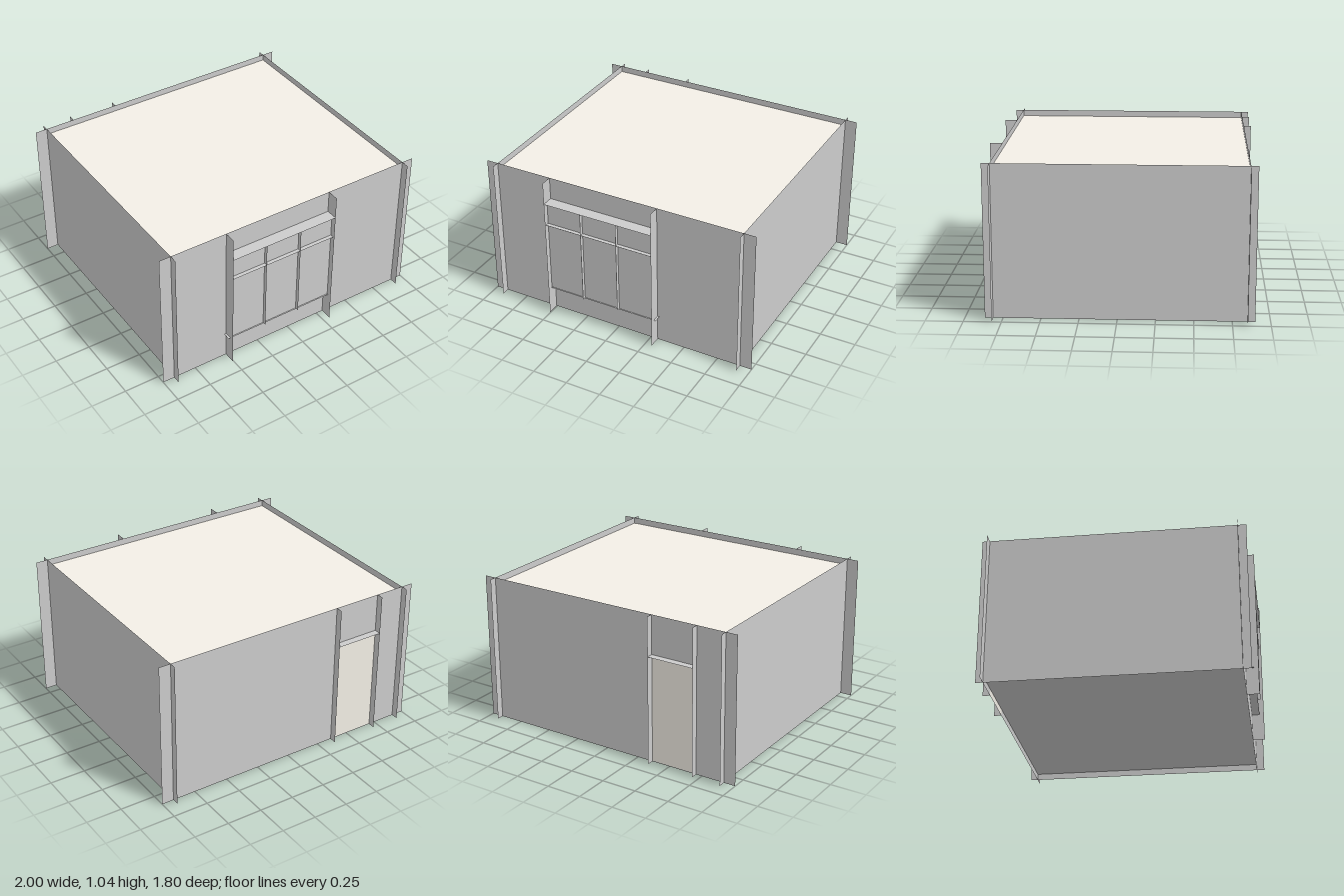
import * as THREE from 'three';

const grey = new THREE.MeshStandardMaterial({ color: 0xcccccc, side: THREE.DoubleSide });
const cream = new THREE.MeshStandardMaterial({ color: 0xf3efe6, side: THREE.DoubleSide });

const H = 1.04;                                   // wall height
const FRONT = 0.815, BACK = -0.85, SIDE = 0.915;  // wall planes
const FLOOR = 0.045, ROOF = 0.995;
const WIN = { x0: -0.505, x1: 0.3, y0: 0.19, y1: 0.88 };
const DOOR = { x0: -0.705, x1: -0.365, y0: 0.005, y1: 0.765 };

// Flat sheet facing z, with optional rectangular opening
function facade(x0, x1, y0, y1, z, hole) {
  const rect = (C, a, b, c, d) => new C([[a, c], [b, c], [b, d], [a, d]].map(p => new THREE.Vector2(...p)));
  const shape = rect(THREE.Shape, x0, x1, y0, y1);
  if (hole) shape.holes.push(rect(THREE.Path, hole.x0, hole.x1, hole.y0, hole.y1));
  return new THREE.ShapeGeometry(shape).translate(0, 0, z);
}

// Thin sheet standing across x (upright, running along z)
function upright(x, y0, y1, z0, z1) {
  return new THREE.PlaneGeometry(z1 - z0, y1 - y0).rotateY(Math.PI / 2)
    .translate(x, (y0 + y1) / 2, (z0 + z1) / 2);
}

// Thin level sheet
function level(x0, x1, y, z0, z1) {
  return new THREE.PlaneGeometry(x1 - x0, z1 - z0).rotateX(-Math.PI / 2)
    .translate((x0 + x1) / 2, y, (z0 + z1) / 2);
}

export function createModel() {
  const model = new THREE.Group();
  model.name = 'room';
  const add = (name, geometry, material = grey, parent = model) => {
    const mesh = new THREE.Mesh(geometry, material);
    mesh.name = name;
    parent.add(mesh);
  };

  // Walls overlap past the corners and rise above the roof
  add('frontWall', facade(-1, 1, 0, H, FRONT, WIN));
  add('backWall', facade(-1, 1, 0, H, BACK, DOOR));
  add('leftWall', upright(SIDE, 0, H, -0.9, 0.87));
  add('rightWall', upright(-SIDE, 0, H, -0.9, 0.87));

  // Roof and floor sit just inside the wall edges
  add('roof', level(-SIDE, SIDE, ROOF, BACK, FRONT), cream);
  add('floor', level(-SIDE, SIDE, FLOOR, BACK, FRONT));

  // Window: full height side fins, hood, sill, glass and bars
  const win = new THREE.Group();
  win.name = 'window';
  model.add(win);
  const GLASS = 0.86;
  for (const x of [WIN.x0, WIN.x1]) add('windowFin', upright(x, 0, H, FRONT, 0.9), grey, win);
  add('windowHood', level(WIN.x0, WIN.x1, WIN.y1, FRONT, 0.9), grey, win);
  add('windowSill', level(-0.52, 0.315, WIN.y0, FRONT, 0.87), grey, win);
  add('glass', facade(WIN.x0, WIN.x1, WIN.y0, WIN.y1, GLASS), grey, win);
  for (const t of [1 / 3, 2 / 3]) {
    add('mullion', upright(THREE.MathUtils.lerp(WIN.x0, WIN.x1, t), WIN.y0, WIN.y1, GLASS, 0.888), grey, win);
  }
  add('transom', level(WIN.x0, WIN.x1, 0.71, GLASS, 0.888), grey, win);

  // Door: full height side fins, hood and leaf
  const door = new THREE.Group();
  door.name = 'door';
  model.add(door);
  for (const x of [DOOR.x0, DOOR.x1]) add('doorFin', upright(x, 0, H, -0.9, BACK), grey, door);
  add('doorHood', level(DOOR.x0, DOOR.x1, DOOR.y1, -0.9, BACK), grey, door);
  add('doorLeaf', facade(DOOR.x0, DOOR.x1, DOOR.y0, DOOR.y1, BACK), cream, door);

  // Low cabinet inside, against the left wall
  add('cabinet', new THREE.BoxGeometry(0.25, 0.36, 0.57).translate(SIDE - 0.13, FLOOR + 0.181, 0.085));

  return model;
}
